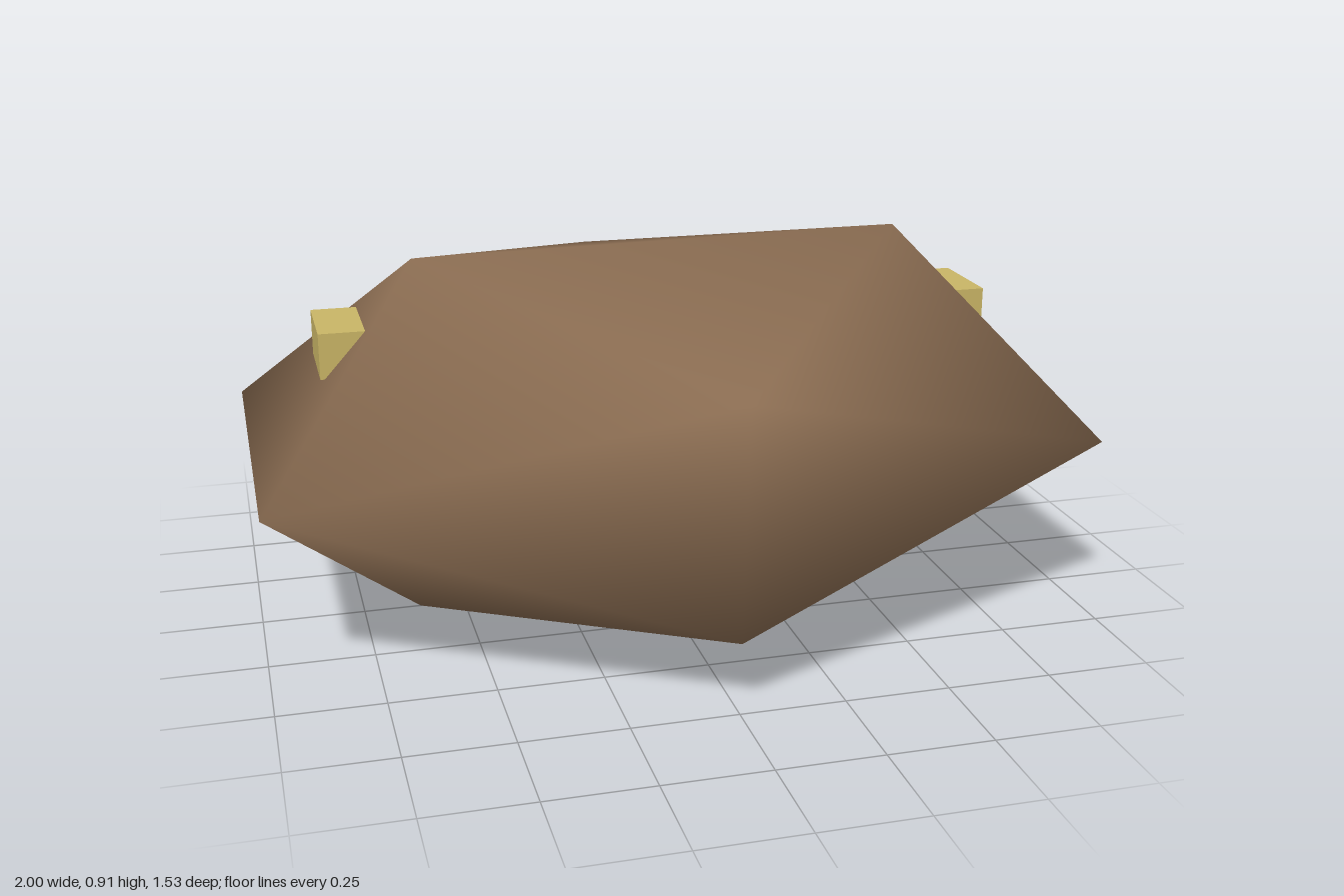
import * as THREE from 'three';

const brown = new THREE.MeshStandardMaterial({ color: 0x8b6d52 });
brown.name = 'brown';
const straw = new THREE.MeshStandardMaterial({ color: 0xc9b566 });
straw.name = 'straw yellow';

// Stretched, slightly irregular twelve-cornered stone with shared smooth normals
function createBody() {
  const corners = [
    [-0.595, 0.9, 0], [0.62, 0.915, 0], [-0.61, 0.003, 0], [0.6, 0.005, -0.015], // top and bottom ridges
    [0, 0.18, 0.76], [0.01, 0.73, 0.765], [0, 0.17, -0.765], [-0.01, 0.735, -0.755], // front and back ridges
    [0.99, 0.45, -0.47], [1, 0.455, 0.46], [-1, 0.45, -0.485], [-1, 0.45, 0.455], // side ridges
  ];
  const faces = [
    0, 11, 5, 0, 5, 1, 0, 1, 7, 0, 7, 10, 0, 10, 11,
    1, 5, 9, 5, 11, 4, 11, 10, 2, 10, 7, 6, 7, 1, 8,
    3, 9, 4, 3, 4, 2, 3, 2, 6, 3, 6, 8, 3, 8, 9,
    4, 9, 5, 2, 4, 11, 6, 2, 10, 8, 6, 7, 9, 8, 1,
  ];
  const geometry = new THREE.BufferGeometry();
  geometry.setAttribute('position', new THREE.Float32BufferAttribute(corners.flat(), 3));
  geometry.setIndex(faces);
  geometry.computeVertexNormals();
  const body = new THREE.Mesh(geometry, brown);
  body.name = 'body';
  return body;
}

export function createModel() {
  const model = new THREE.Group();
  model.name = 'stone with side blocks';
  model.add(createBody());

  // Small blocks set into the upper sloping sides
  for (const side of [-1, 1]) {
    const block = new THREE.Mesh(new THREE.BoxGeometry(0.11, 0.11, 0.22), straw);
    block.name = side > 0 ? 'leftBlock' : 'rightBlock';
    block.position.set(side * 0.775, 0.705, -0.005);
    model.add(block);
  }
  return model;
}
